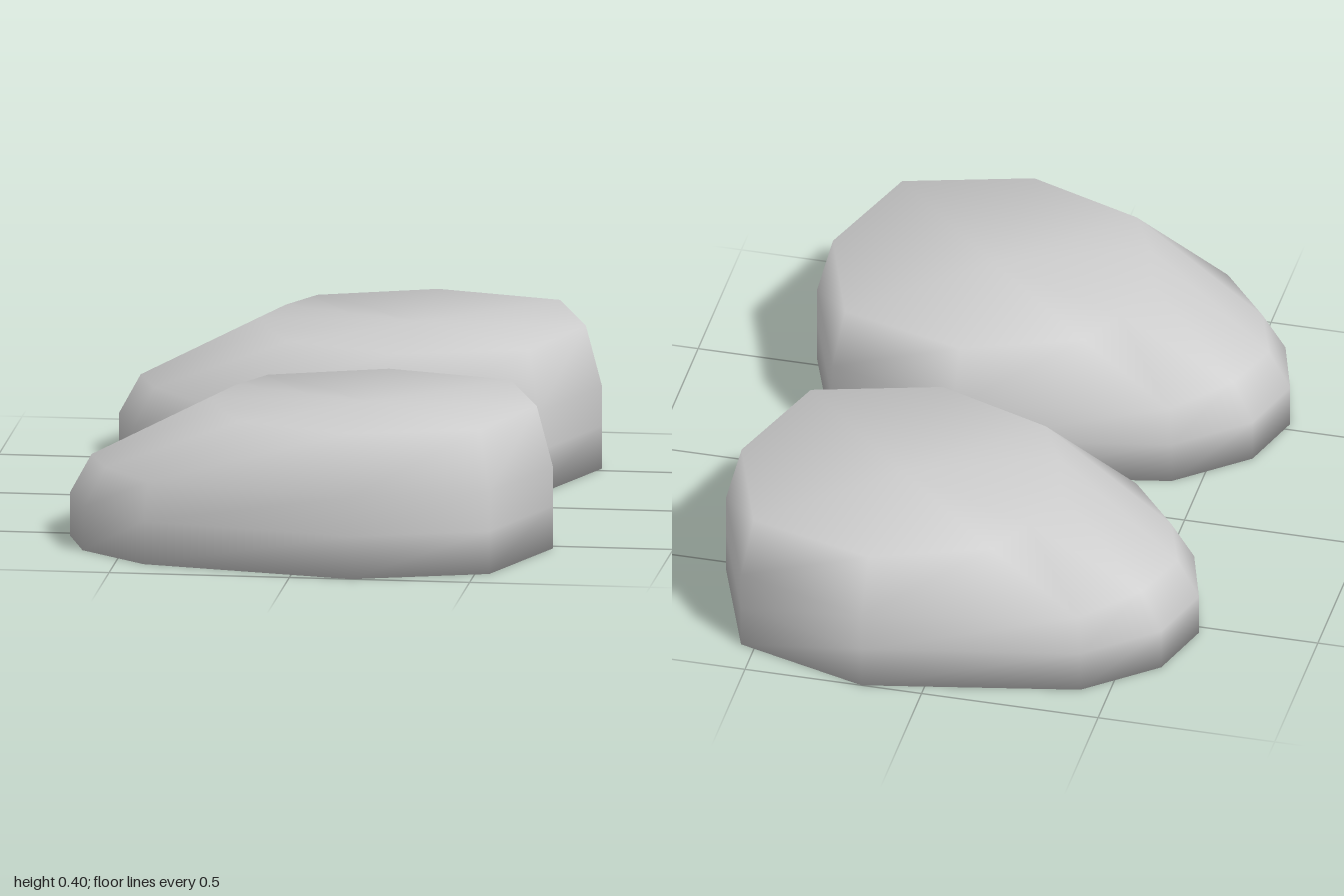
import * as THREE from 'three';

// Half outlines [x, y, z] from toe to heel, from the sole up
const RINGS = [
  [[-0.67, 0, 0], [-0.61, 0, 0.19], [-0.42, 0, 0.35], [0.17, 0, 0.472], [0.54, 0, 0.355], [0.67, 0, 0]],
  [[-0.67, 0.12, 0], [-0.61, 0.12, 0.19], [-0.42, 0.12, 0.35], [0.17, 0.12, 0.472], [0.54, 0.12, 0.355], [0.67, 0.12, 0]],
  [[-0.61, 0.23, 0], [-0.55, 0.23, 0.17], [-0.41, 0.23, 0.34], [0.17, 0.23, 0.472], [0.54, 0.23, 0.355], [0.67, 0.23, 0]],
  [[-0.28, 0.4, 0], [-0.23, 0.4, 0.17], [-0.16, 0.4, 0.31], [0.16, 0.4, 0.43], [0.51, 0.4, 0.33], [0.625, 0.4, 0]],
];

// Closed smooth shell: mirrored rings joined in bands and capped
function shoeGeometry() {
  const points = [], index = [];
  for (const half of RINGS) {
    const mirrored = half.slice(1, -1).reverse().map(([x, y, z]) => [x, y, -z]);
    points.push(...half, ...mirrored);
  }
  const n = points.length / RINGS.length;
  for (let r = 0; r < RINGS.length - 1; r++) {
    for (let i = 0; i < n; i++) {
      const a = r * n + i, b = r * n + (i + 1) % n;
      index.push(a, b, b + n, a, b + n, a + n);
    }
  }
  // Sole and top caps
  const sole = points.push([0.1, 0, 0]) - 1;
  const top = points.push([0.17, 0.4, 0]) - 1;
  const last = (RINGS.length - 1) * n;
  for (let i = 0; i < n; i++) {
    const j = (i + 1) % n;
    index.push(sole, j, i, top, last + i, last + j);
  }
  const geometry = new THREE.BufferGeometry();
  geometry.setAttribute('position', new THREE.Float32BufferAttribute(points.flat(), 3));
  geometry.setIndex(index);
  geometry.computeVertexNormals();
  return geometry;
}

export function createModel() {
  const model = new THREE.Group();
  model.name = 'pairOfShoes';
  const material = new THREE.MeshStandardMaterial({ color: 0xcccccc });
  material.name = 'lightGrey';
  const geometry = shoeGeometry();
  // One shoe on each side of the middle
  for (const [name, z] of [['frontShoe', 0.528], ['backShoe', -0.528]]) {
    const shoe = new THREE.Mesh(geometry, material);
    shoe.name = name;
    shoe.position.z = z;
    model.add(shoe);
  }
  return model;
}
